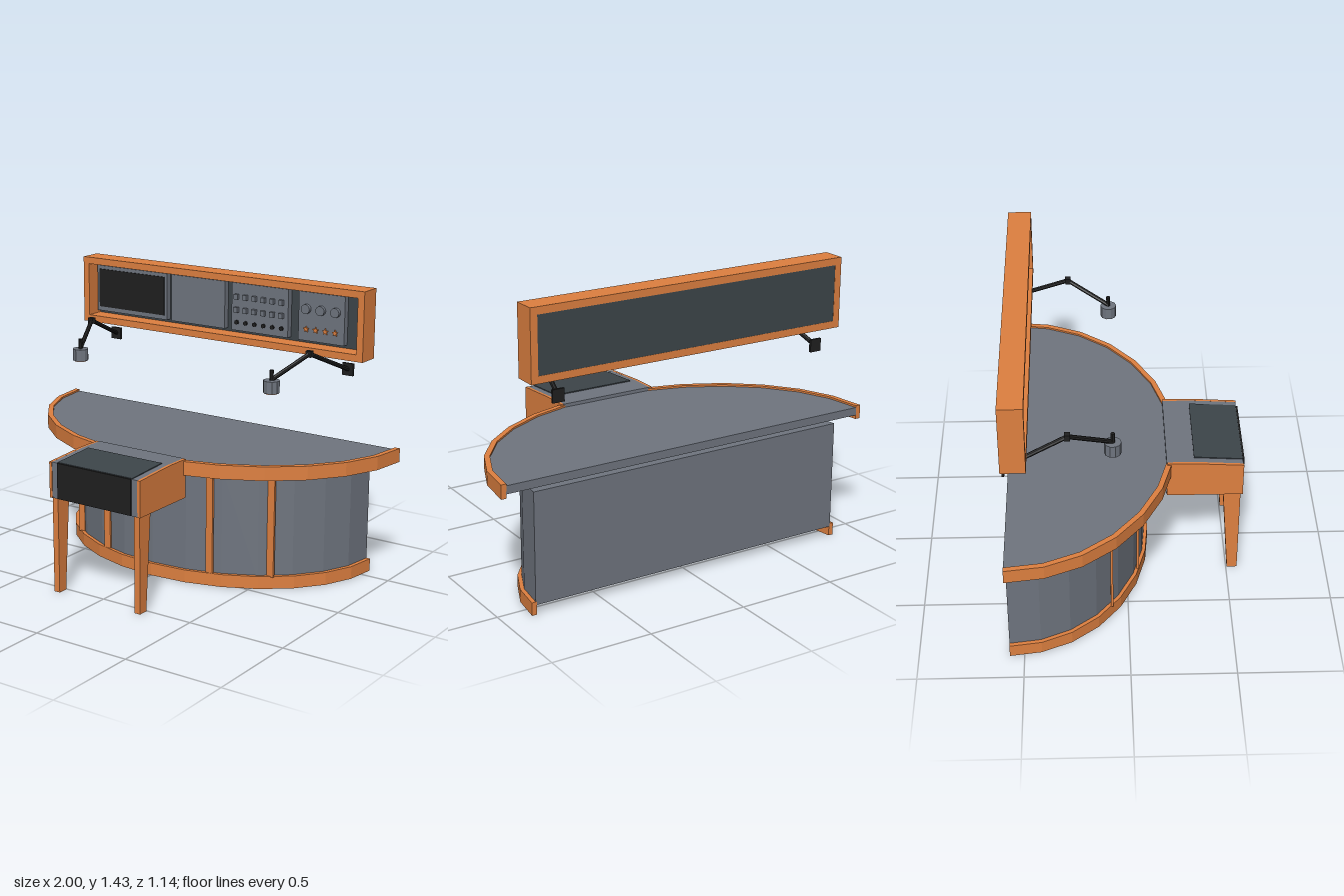
import * as THREE from 'three';

const mat = (name, color) => Object.assign(new THREE.MeshStandardMaterial({ color, flatShading: true }), { name });
const BACK = -0.57;

// Half-ellipse outline, from +x round the front to -x
function arc(a, b, n = 14) {
  return Array.from({ length: n + 1 }, (_, i) => {
    const t = (i / n) * Math.PI;
    return new THREE.Vector2(a * Math.cos(t), BACK + b * Math.sin(t));
  });
}

// Flat outline (x, z) extruded between two heights
function slab(points, y0, y1) {
  const g = new THREE.ExtrudeGeometry(new THREE.Shape(points), { depth: y1 - y0, bevelEnabled: false });
  return g.rotateX(Math.PI / 2).translate(0, y1, 0);
}

// Side profile (z, y) extruded across x, centred at cx
function profile(points, cx, width) {
  const shape = new THREE.Shape(points.map(([z, y]) => new THREE.Vector2(z, y)));
  const g = new THREE.ExtrudeGeometry(shape, { depth: width, bevelEnabled: false });
  return g.rotateY(-Math.PI / 2).translate(cx + width / 2, 0, 0);
}

// Curved band that follows the half ellipse
const band = (a, b, w, y0, y1) => slab([...arc(a, b), ...arc(a - w, b - w).reverse()], y0, y1);

export function createModel() {
  const wood = mat('orange wood', 0xde8040);
  const grey = mat('grey laminate', 0x6f757f);
  const slate = mat('dark slate', 0x3d454a);
  const black = mat('black', 0x1f1f1f);
  const root = new THREE.Group();

  function add(parent, name, geometry, material) {
    const mesh = new THREE.Mesh(geometry, material);
    mesh.name = name;
    parent.add(mesh);
    return mesh;
  }
  // Box given by its limits
  const box = (parent, name, m, x0, x1, y0, y1, z0, z1) => add(parent, name,
    new THREE.BoxGeometry(x1 - x0, y1 - y0, z1 - z0)
      .translate((x0 + x1) / 2, (y0 + y1) / 2, (z0 + z1) / 2), m);
  const group = (name) => {
    const g = new THREE.Group();
    g.name = name;
    root.add(g);
    return g;
  };

  // Half-round desk
  const desk = group('desk');
  add(desk, 'deskBody', slab(arc(0.84, 0.665), 0.048, 0.597), grey);
  add(desk, 'deskTop', slab(arc(0.975, 0.791), 0.615, 0.655), grey);
  add(desk, 'topRim', band(1, 0.816, 0.027, 0.595, 0.664), wood);
  add(desk, 'baseRim', band(0.86, 0.682, 0.025, 0, 0.064), wood);
  // Thin upright battens on the curved front
  for (const s of [-1, 1]) {
    for (const [x, z] of [[0.31, 0.053], [0.577, -0.08]]) {
      box(desk, 'batten', wood, s * x - 0.019, s * x + 0.019, 0.06, 0.6, z - 0.006, z + 0.006);
    }
  }

  // Front console on two tapered legs
  const consoleBox = group('frontConsole');
  const side = [[0.195, 0.48], [0.565, 0.48], [0.565, 0.658], [0.33, 0.672], [0.195, 0.672]];
  add(consoleBox, 'consoleBody', profile(side.map(([z, y]) => [z - 0.003, y]), 0, 0.5), grey);
  box(consoleBox, 'frontScreen', black, -0.215, 0.215, 0.483, 0.66, 0.561, 0.57);
  add(consoleBox, 'topScreen', profile(
    [[0.325, 0.67], [0.56, 0.655], [0.56, 0.662], [0.325, 0.677]], 0, 0.436), slate);
  for (const s of [-1, 1]) {
    add(consoleBox, 'consoleSide', profile(side, s * 0.2575, 0.015), wood);
    add(consoleBox, 'leg', profile(
      [[0.505, 0], [0.555, 0], [0.555, 0.48], [0.47, 0.48]], s * 0.24, 0.032), wood);
  }

  // Wall cabinet frame with an open face
  const cabinet = group('wallCabinet');
  const rect = (P, x, y0, y1) => new P([[-x, y0], [x, y0], [x, y1], [-x, y1]]
    .map(([u, v]) => new THREE.Vector2(u, v)));
  const frame = rect(THREE.Shape, 0.84, 1.09, 1.435);
  frame.holes.push(rect(THREE.Path, 0.805, 1.125, 1.4));
  add(cabinet, 'cabinetFrame', new THREE.ExtrudeGeometry(frame, { depth: 0.115, bevelEnabled: false })
    .translate(0, 0, BACK), wood);
  box(cabinet, 'backPanel', slate, -0.805, 0.805, 1.125, 1.4, BACK + 0.001, -0.55);

  // Instrument panels inside the cabinet
  const face = -0.517;
  for (const [name, x0, x1] of [['screenPanel', -0.795, -0.345], ['blankPanel', -0.315, 0.013],
    ['buttonPanel', 0.055, 0.386], ['knobPanel', 0.446, 0.703]]) {
    box(cabinet, name, grey, x0, x1, 1.142, 1.385, -0.551, face);
  }
  box(cabinet, 'screen', black, -0.78, -0.36, 1.165, 1.367, face - 0.003, face + 0.005);
  const disc = (name, m, x, y, r, depth, sides) => add(cabinet, name,
    new THREE.CylinderGeometry(r, r, depth, sides).rotateX(Math.PI / 2)
      .translate(x, y, face + depth / 2), m);
  for (let i = 0; i < 6; i++) {
    const x = 0.088 + i * 0.0525;
    for (const y of [1.317, 1.25]) {
      box(cabinet, 'button', grey, x - 0.011, x + 0.011, y - 0.013, y + 0.013, face, face + 0.018);
    }
    disc('jack', black, x, 1.185, 0.011, 0.01, 8);
  }
  for (let i = 0; i < 3; i++) disc('knob', grey, 0.492 + i * 0.082, 1.302, 0.024, 0.018, 16);
  // Small star-shaped indicators
  const star = new THREE.Shape(Array.from({ length: 10 }, (_, i) => {
    const r = i % 2 ? 0.008 : 0.017, t = Math.PI / 2 + (i * Math.PI) / 5;
    return new THREE.Vector2(r * Math.cos(t), r * Math.sin(t));
  }));
  for (let i = 0; i < 4; i++) {
    add(cabinet, 'indicator', new THREE.ExtrudeGeometry(star, { depth: 0.008, bevelEnabled: false })
      .translate(0.492 + i * 0.054, 1.2, face), wood);
  }

  // Jointed lamps, one on each side
  for (const s of [-1, 1]) {
    const lamp = group(s > 0 ? 'leftLamp' : 'rightLamp');
    const v = (x, y, z) => new THREE.Vector3(s * x, y, z);
    const wall = v(0.706, 1.019, -0.563), elbow = v(0.652, 1.144, -0.275), tip = v(0.568, 1.048, -0.072);
    const rod = (name, a, b) => add(lamp, name,
      new THREE.TubeGeometry(new THREE.LineCurve3(a, b), 1, 0.011, 8), black);
    const post = (name, m, r, y0, y1, n) => add(lamp, name,
      new THREE.CylinderGeometry(r, r, y1 - y0, n).translate(tip.x, (y0 + y1) / 2, tip.z), m);
    add(lamp, 'wallMount', new THREE.BoxGeometry(0.06, 0.062, 0.012)
      .translate(wall.x, wall.y, wall.z), black);
    rod('rearArm', wall, elbow);
    rod('frontArm', elbow, tip);
    add(lamp, 'elbowJoint', new THREE.BoxGeometry(0.03, 0.03, 0.026)
      .translate(elbow.x, elbow.y, elbow.z), black);
    post('lampPost', black, 0.01, 1.04, 1.095, 8);
    post('lampHead', grey, 0.04, 0.986, 1.045, 10);
    post('lampLens', wood, 0.034, 0.982, 0.988, 10);
  }
  return root;
}
